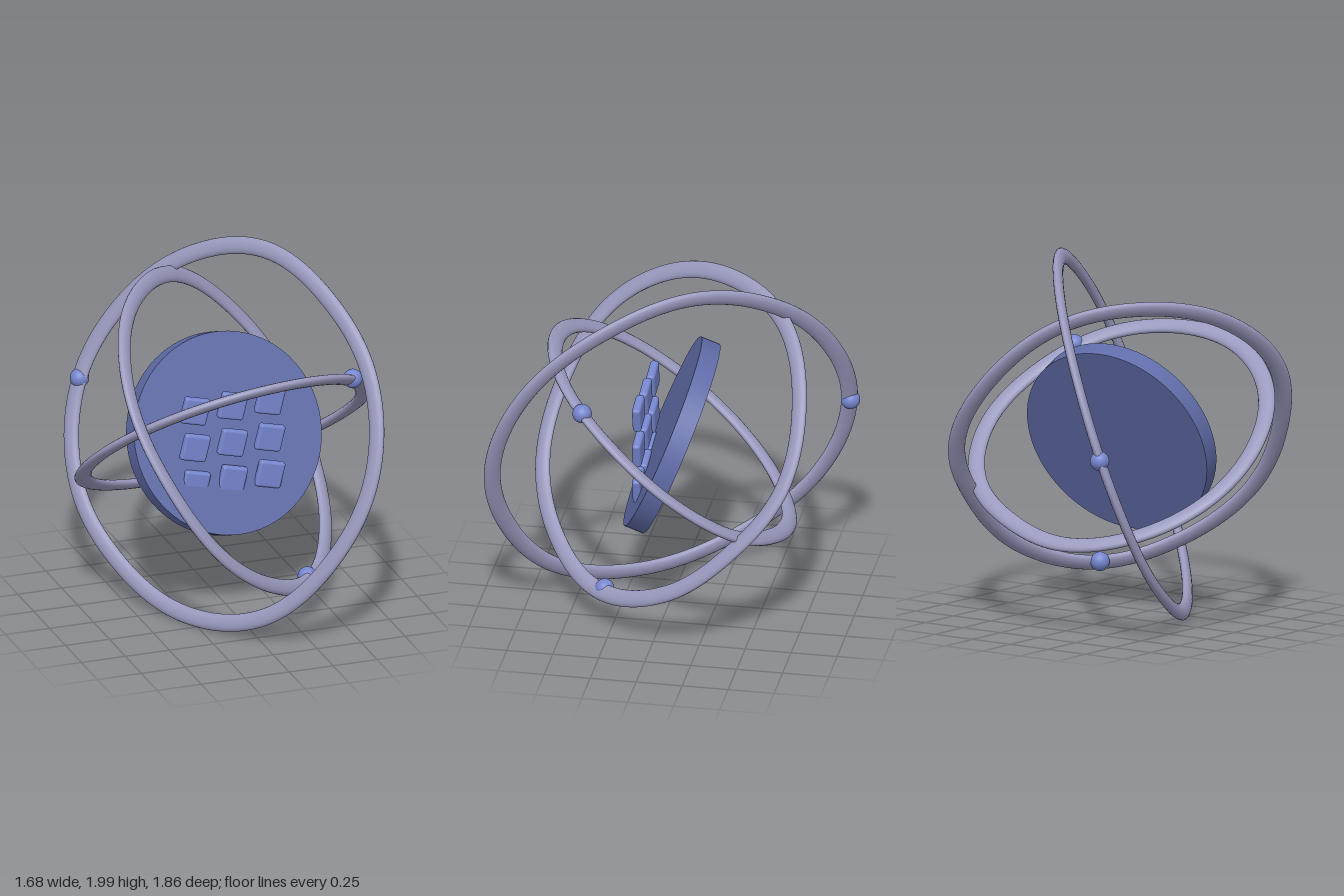
import * as THREE from 'three';
import { RoundedBoxGeometry } from 'three/addons/geometries/RoundedBoxGeometry.js';

const mat = (name, color) => {
  const m = new THREE.MeshStandardMaterial({ color });
  m.name = name;
  return m;
};

// Periodic Catmull-Rom lookup of evenly spaced radii
function radiusAt(radii, angle) {
  const n = radii.length;
  const f = ((angle / (Math.PI * 2)) * n + n) % n;
  const i = Math.floor(f), t = f - i;
  const [a, b, c, d] = [-1, 0, 1, 2].map((k) => radii[(i + k + n) % n]);
  return b + 0.5 * t * (c - a + t * (2 * a - 5 * b + 4 * c - d + t * (3 * (b - c) + d - a)));
}

// Flattened, slightly wavy hoop lying in the local xy plane
function hoopGeometry(radii) {
  const tube = 0.047;
  const geo = new THREE.TorusGeometry(1, tube, 16, 144);
  const p = geo.attributes.position;
  for (let i = 0; i < p.count; i++) {
    const x = p.getX(i), y = p.getY(i);
    const angle = Math.atan2(y, x);
    const r = Math.hypot(x, y) - 1 + radiusAt(radii, angle);
    p.setXYZ(i, Math.cos(angle) * r, Math.sin(angle) * r, p.getZ(i) * 0.53);
  }
  // normals from the deformed section, kept smooth across the seams
  const nor = geo.attributes.normal;
  for (let i = 0; i < nor.count; i++) {
    const v = new THREE.Vector3(nor.getX(i), nor.getY(i), nor.getZ(i) / 0.53).normalize();
    nor.setXYZ(i, v.x, v.y, v.z);
  }
  return geo;
}

export function createModel() {
  const ringMat = mat('grey lavender', 0x9a9abf);
  const discMat = mat('slate blue', 0x606ca8);
  const keyMat = mat('bright periwinkle', 0x7686cf);

  const model = new THREE.Group();
  model.name = 'orbitingKeypad';

  const add = (name, geo, material, x, y, z) => {
    const mesh = new THREE.Mesh(geo, material);
    mesh.name = name;
    mesh.position.set(x, y, z);
    model.add(mesh);
    return mesh;
  };

  // Three tilted hoops, each carrying one bead
  const up = new THREE.Vector3(0, 1, 0);
  const hoops = [
    { name: 'inner', normal: [-0.1, 0.785, -0.61], bead: [0.59, 1.37, 0.37],
      radii: [0.8, 0.81, 0.805, 0.785, 0.778, 0.77, 0.8, 0.81, 0.785, 0.81, 0.8, 0.8] },
    { name: 'middle', normal: [0.66, 0.53, 0.53], bead: [0.36, 0.225, 0.29],
      radii: [0.91, 0.9, 0.915, 0.895, 0.905, 0.91, 0.875, 0.89, 0.895, 0.925, 0.895, 0.865] },
    { name: 'outer', normal: [0.81, -0.33, -0.485], bead: [-0.51, 1.035, -0.885],
      radii: [1.02, 0.98, 0.98, 1.005, 0.975, 1.0, 1.01, 1.0, 1.03, 1.01, 0.99, 1.025] },
  ];
  for (const { name, normal, bead, radii } of hoops) {
    const n = new THREE.Vector3(...normal).normalize();
    const e1 = up.clone().cross(n).normalize();
    const e2 = n.clone().cross(e1);
    const hoop = add(name + 'Hoop', hoopGeometry(radii), ringMat, 0, 1, 0);
    hoop.quaternion.setFromRotationMatrix(new THREE.Matrix4().makeBasis(e1, e2, n));
    add(name + 'Bead', new THREE.SphereGeometry(0.052, 24, 16), keyMat, ...bead);
  }

  // Leaning disc in the middle
  const disc = add('disc', new THREE.CylinderGeometry(0.547, 0.547, 0.107, 72), discMat, -0.006, 0.988, -0.008);
  disc.quaternion.setFromUnitVectors(up, new THREE.Vector3(0.09, 0.375, 0.92).normalize());

  // Upright 3 x 3 keypad; the bottom row sinks into the disc
  const keyGeo = new RoundedBoxGeometry(0.148, 0.148, 0.046, 3, 0.016);
  for (let row = 0; row < 3; row++) {
    for (let col = 0; col < 3; col++) {
      const key = add('key', keyGeo, keyMat, -0.01 + (col - 1) * 0.212, 0.992 - (row - 1) * 0.212, 0.135);
      key.rotation.z = -0.24;
    }
  }
  return model;
}
